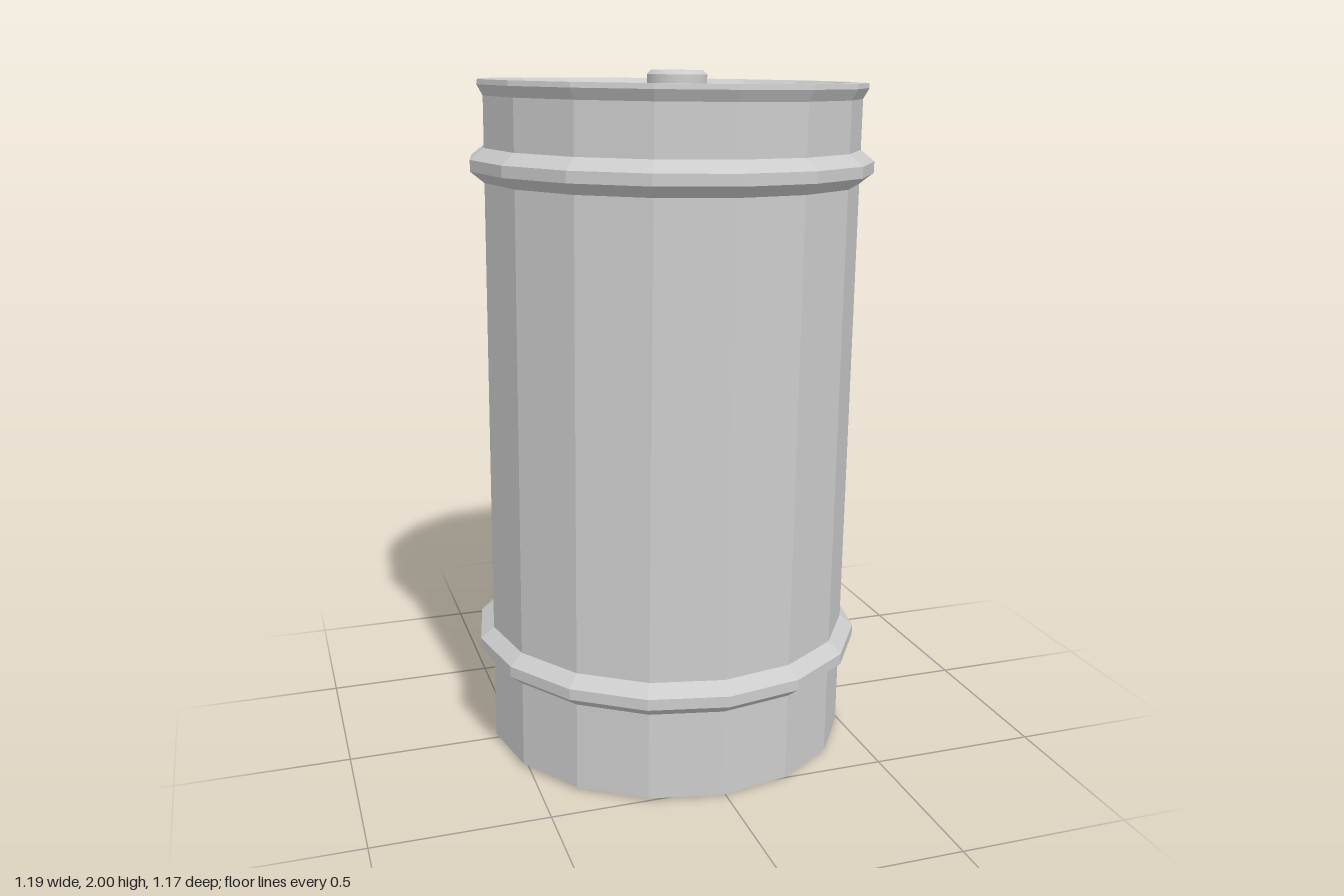
import * as THREE from 'three';
import { toCreasedNormals } from 'three/addons/utils/BufferGeometryUtils.js';

const SIDES = 16;
const BODY_R = 0.545;
const BAND_R = 0.585;

const lathe = (points, sides) =>
  new THREE.LatheGeometry(points.map(([r, y]) => new THREE.Vector2(r, y)), sides);

// Raised rolling hoop: four profile points around a centre height
const hoop = (y) => [
  [BODY_R, y - 0.048],
  [BAND_R, y - 0.016],
  [BAND_R, y + 0.016],
  [BODY_R, y + 0.048],
];

export function createModel() {
  const model = new THREE.Group();
  model.name = 'drum';

  const metal = new THREE.MeshStandardMaterial({
    color: 0xcccccc, flatShading: true, side: THREE.DoubleSide,
  });
  const smooth = new THREE.MeshStandardMaterial({ color: 0xcccccc });

  const add = (name, geometry, material) => {
    const mesh = new THREE.Mesh(geometry, material);
    mesh.name = name;
    model.add(mesh);
    return mesh;
  };

  // Faceted wall, open at the bottom, with two hoops and a flared rim
  add('barrelWall', lathe([
    [BODY_R, 0],
    ...hoop(0.307),
    ...hoop(1.733),
    [BODY_R, 1.923],
    [0.562, 1.953],
    [0.56, 1.967],
    [0.51, 1.967],
    [0.485, 1.94],
  ], SIDES), metal);

  // Flat lid sunk below the rim
  add('lid', lathe([[0.485, 1.94], [0, 1.94]], SIDES), metal);

  // Round bung with a bevelled top edge
  const bung = toCreasedNormals(
    lathe([[0.093, 0], [0.093, 0.042], [0.079, 0.055], [0, 0.055]], 32), 0.5);
  add('bung', bung, smooth).position.set(0.112, 1.94, -0.29);

  // The whole drum leans very slightly to one side
  const lean = -0.012;
  model.rotation.z = lean;
  model.position.set(Math.sin(lean), BODY_R * Math.sin(-lean), 0);

  const root = new THREE.Group();
  root.name = 'leaningDrum';
  root.add(model);
  return root;
}
